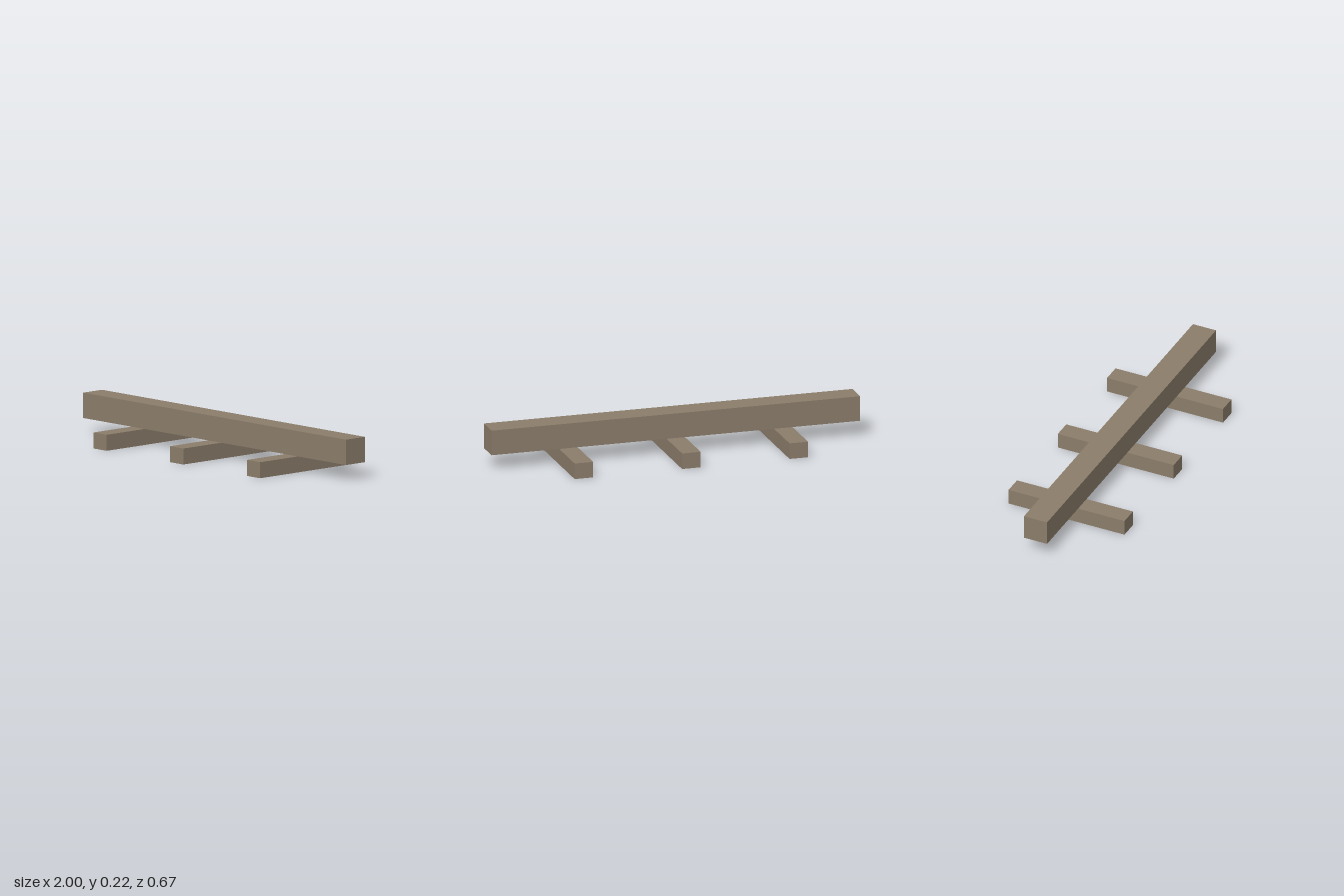
import * as THREE from 'three';

export function createModel() {
  const group = new THREE.Group();
  const wood = new THREE.MeshStandardMaterial({ color: 0x8b7d6b });
  wood.name = 'weathered wood';

  const footHeight = 0.084;
  const beamHeight = 0.133;

  // Add a box resting on height y
  function addBox(name, width, height, depth, x, y) {
    const mesh = new THREE.Mesh(new THREE.BoxGeometry(width, height, depth), wood);
    mesh.name = name;
    mesh.position.set(x, y + height / 2, 0);
    group.add(mesh);
  }

  // Long beam lying across the feet
  addBox('beam', 2, beamHeight, 0.133, 0, footHeight);

  // Three cross feet
  const feet = { rightFoot: -0.583, middleFoot: 0, leftFoot: 0.583 };
  for (const [name, x] of Object.entries(feet)) {
    addBox(name, 0.1, footHeight, 0.667, x, 0);
  }

  return group;
}
